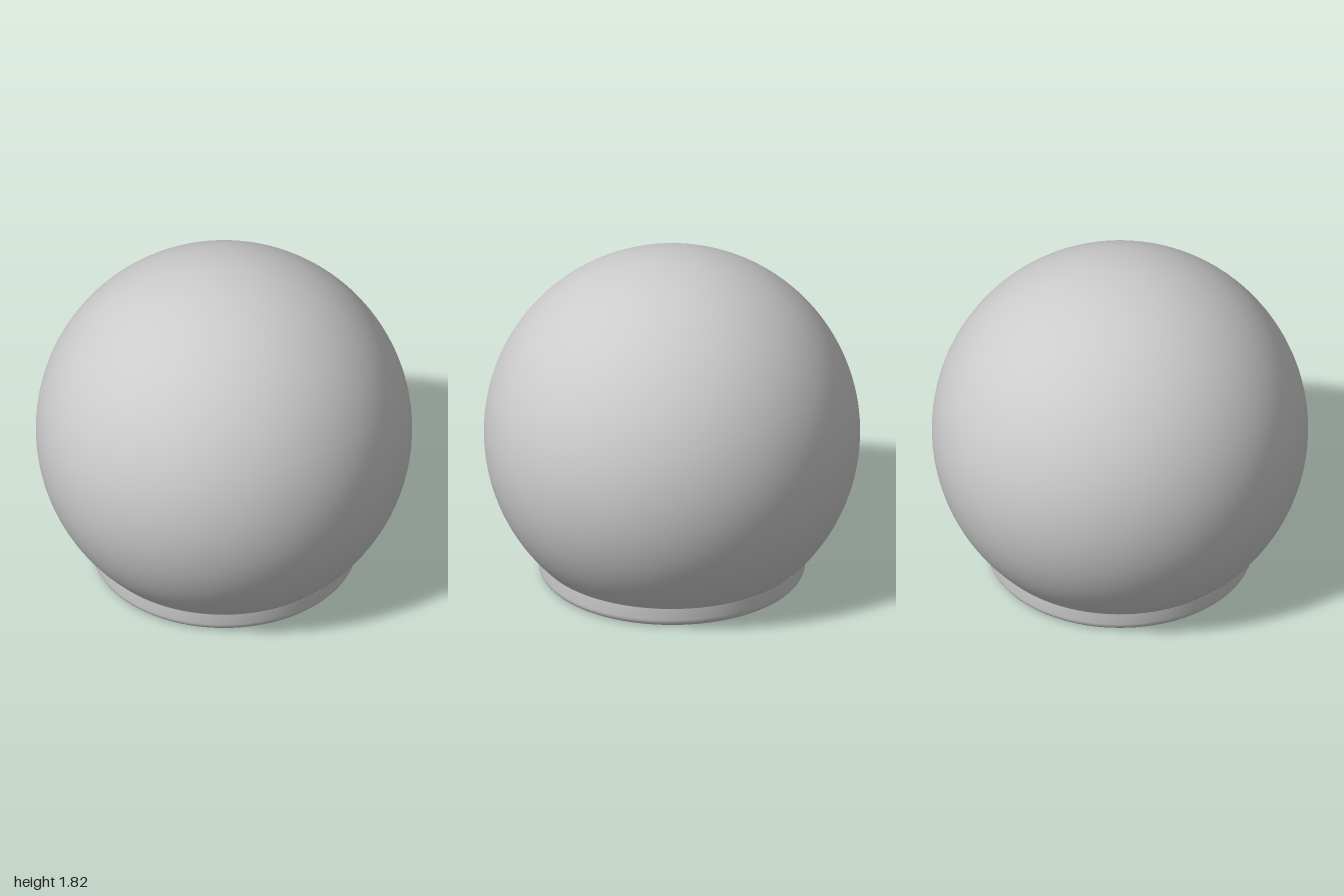
import * as THREE from 'three';

const RADIUS = 1, CENTRE_Y = 0.815, SEAM_Y = 0.11, SEGMENTS = 96;

export function createModel() {
  const group = new THREE.Group();
  group.name = 'globeShade';
  const material = new THREE.MeshStandardMaterial({ color: 0xcccccc, side: THREE.DoubleSide });

  const addLathe = (name, points) => {
    const mesh = new THREE.Mesh(new THREE.LatheGeometry(points, SEGMENTS), material);
    mesh.name = name;
    group.add(mesh);
  };

  // Hollow globe, cut off level at the seam with the collar
  const start = Math.asin((SEAM_Y - CENTRE_Y) / RADIUS);
  const globe = [];
  for (let i = 0; i <= 64; i++) {
    const a = start + (Math.PI / 2 - start) * (i / 64);
    globe.push(new THREE.Vector2(Math.max(0, RADIUS * Math.cos(a)), CENTRE_Y + RADIUS * Math.sin(a)));
  }
  addLathe('globe', globe);

  // Open collar: short wall whose lower edge rolls inward
  const seamRadius = RADIUS * Math.cos(start);
  const collar = [];
  for (let i = 0; i <= 10; i++) {
    const a = -Math.PI / 2 + (Math.PI / 2) * (i / 10);
    collar.push(new THREE.Vector2(0.67 + 0.039 * Math.cos(a), 0.045 + 0.045 * Math.sin(a)));
  }
  collar.push(new THREE.Vector2(0.711, 0.08), new THREE.Vector2(seamRadius + 0.002, SEAM_Y));
  addLathe('collar', collar);

  return group;
}
